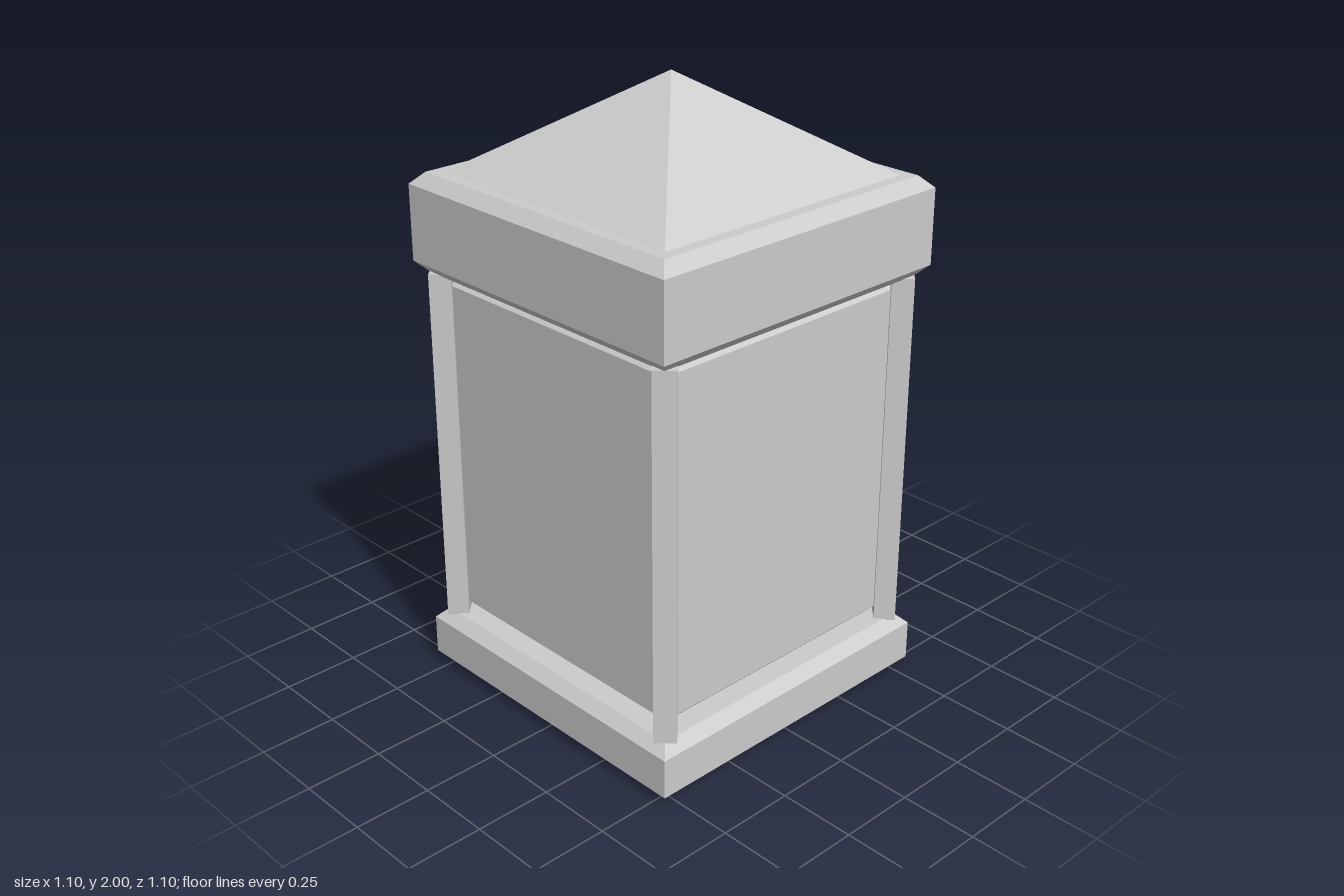
import * as THREE from 'three';

const material = new THREE.MeshStandardMaterial({ color: 0xcccccc, flatShading: true });

// Square solid from a profile of [half width, height] pairs, bottom to top
function squareSolid(name, profile) {
  const points = profile.map(([half, y]) => new THREE.Vector2(half * Math.SQRT2, y));
  const geometry = new THREE.LatheGeometry(points, 4, Math.PI / 4).toNonIndexed();
  geometry.computeVertexNormals();
  const mesh = new THREE.Mesh(geometry, material);
  mesh.name = name;
  return mesh;
}

// Square block with bevelled top and bottom rims
function bevelledBlock(name, half, bottom, top, bevel) {
  return squareSolid(name, [
    [0, bottom],
    [half - bevel, bottom],
    [half, bottom + bevel],
    [half, top - bevel],
    [half - bevel, top],
    [0, top],
  ]);
}

export function createModel() {
  const model = new THREE.Group();
  model.name = 'pillar';

  // Plinth, shaft and capital
  model.add(bevelledBlock('base', 0.548, 0, 0.2, 0.035));
  model.add(bevelledBlock('body', 0.478, 0.2, 1.375, 0.038));
  model.add(bevelledBlock('cap', 0.548, 1.375, 1.69, 0.037));

  // Pyramid roof
  model.add(squareSolid('roof', [[0, 1.68], [0.473, 1.69], [0, 2]]));

  // Corner posts, turned edge-on
  const bottom = 0.195, top = 1.38;
  const postGeometry = new THREE.CylinderGeometry(0.049, 0.049, top - bottom, 4);
  for (const x of [-1, 1]) {
    for (const z of [-1, 1]) {
      const post = new THREE.Mesh(postGeometry, material);
      post.name = 'cornerPost';
      post.position.set(x * 0.49, (bottom + top) / 2, z * 0.49);
      model.add(post);
    }
  }
  return model;
}
